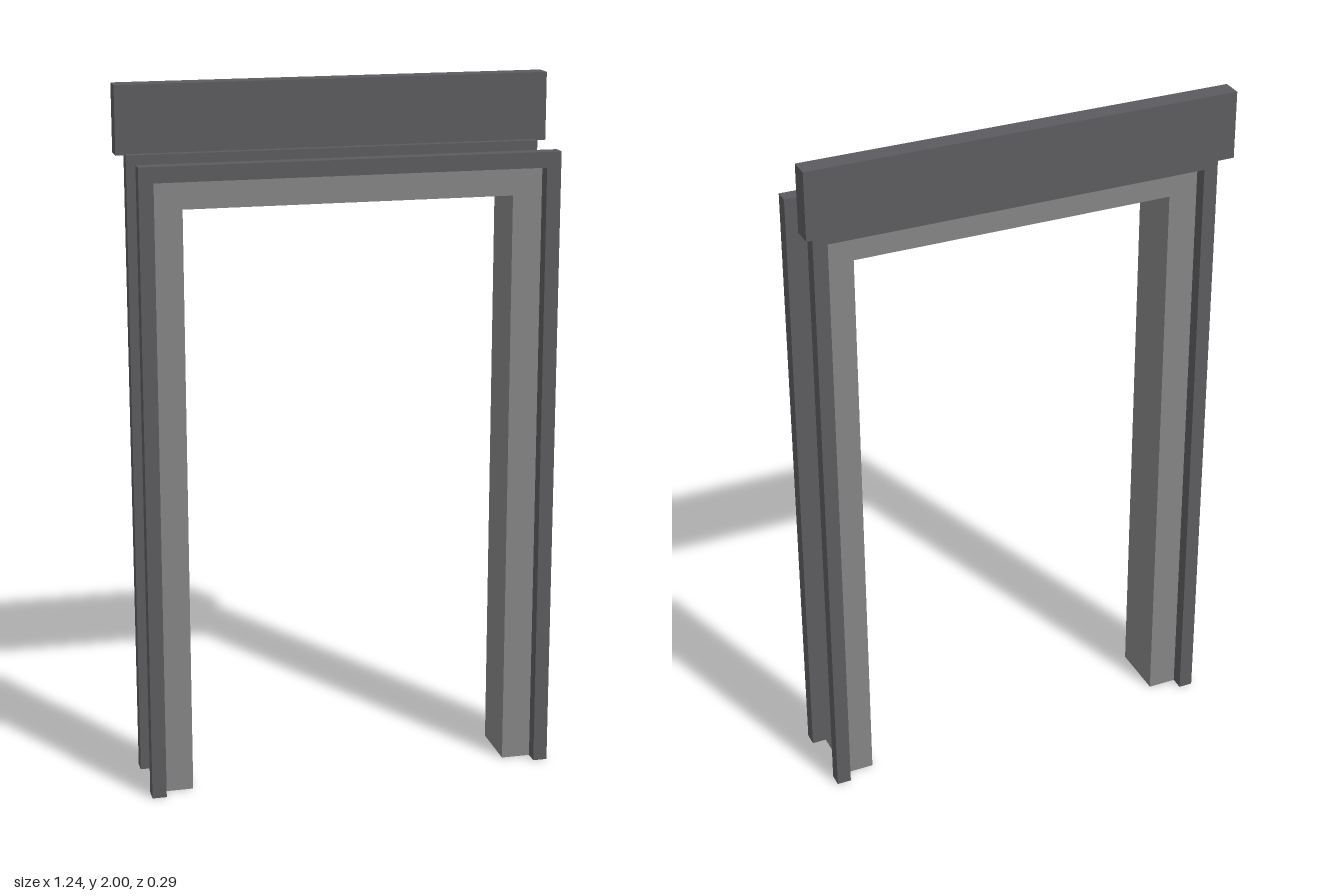
import * as THREE from 'three';

const liningMaterial = new THREE.MeshStandardMaterial({ color: 0x858585 });
const trimMaterial = new THREE.MeshStandardMaterial({ color: 0x5c5c60 });

// Box given by its minimum and maximum on each axis
function block(name, material, [x0, x1], [y0, y1], [z0, z1]) {
  const mesh = new THREE.Mesh(new THREE.BoxGeometry(x1 - x0, y1 - y0, z1 - z0), material);
  mesh.position.set((x0 + x1) / 2, (y0 + y1) / 2, (z0 + z1) / 2);
  mesh.name = name;
  return mesh;
}

export function createModel() {
  const group = new THREE.Group();
  group.name = 'doorFrame';

  const middle = -0.003; // the frame sits slightly off the lintel's centre
  const inner = 0.465, outer = 0.549, trimOuter = 0.59;
  const liningTop = 1.766, trimTop = 1.81;
  const depth = [-0.066, 0.105];
  const trims = { front: [0.105, 0.146], back: [-0.105, -0.066] };

  const frame = new THREE.Group();
  frame.name = 'frame';
  frame.position.x = middle;
  group.add(frame);

  // Lining: two jambs and the head between them
  for (const [side, s] of [['left', 1], ['right', -1]]) {
    const span = (a, b) => (s > 0 ? [a, b] : [-b, -a]);
    frame.add(block(`${side}Jamb`, liningMaterial, span(inner, outer), [0, liningTop], depth));

    // Upright trim strips outside each jamb
    for (const [face, z] of Object.entries(trims)) {
      frame.add(block(`${side}${face === 'front' ? 'Front' : 'Back'}Trim`, trimMaterial,
        span(outer, trimOuter), [0, trimTop], z));
    }
  }
  frame.add(block('head', liningMaterial, [-inner, inner], [1.685, liningTop], depth));

  // Horizontal trim strips above the head
  for (const [face, z] of Object.entries(trims)) {
    frame.add(block(`${face}TopTrim`, trimMaterial, [-outer, outer], [liningTop, trimTop], z));
  }

  // Wide lintel board on the back
  group.add(block('lintelBoard', trimMaterial, [-0.618, 0.618], [1.807, 2], [-0.146, -0.088]));

  return group;
}
